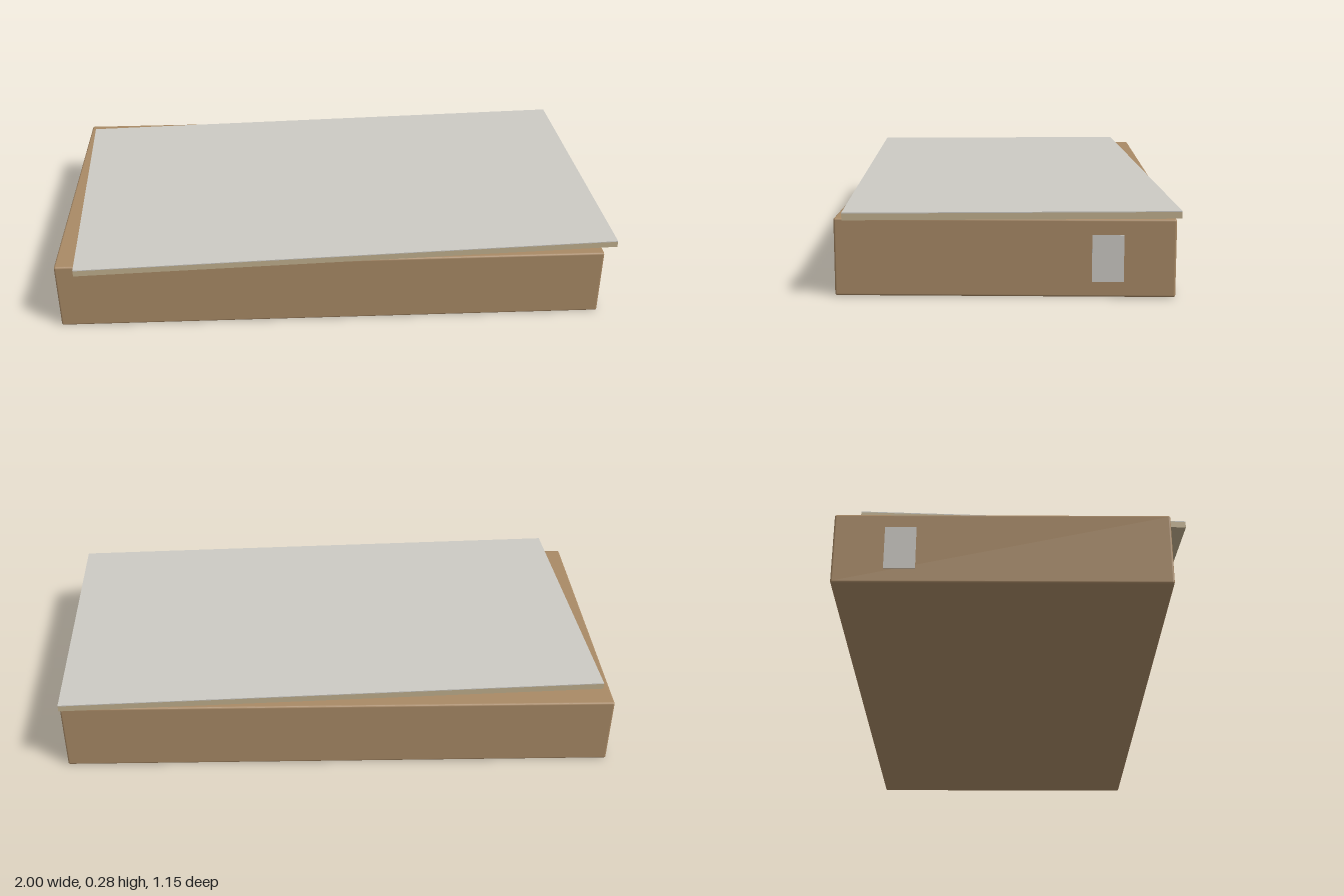
import * as THREE from 'three';
import { RoundedBoxGeometry } from 'three/addons/geometries/RoundedBoxGeometry.js';

const material = (name, color) => {
  const m = new THREE.MeshStandardMaterial({ color });
  m.name = name;
  return m;
};

export function createModel() {
  const cardboard = material('brown cardboard', 0xa98a66);
  const board = material('beige board', 0xbfae8c);
  const paper = material('pale grey paper', 0xcccac4);
  const model = new THREE.Group();
  model.name = 'boxWithLid';

  const add = (parent, name, geometry, mat, x, y, z) => {
    const mesh = new THREE.Mesh(geometry, mat);
    mesh.name = name;
    mesh.position.set(x, y, z);
    parent.add(mesh);
    return mesh;
  };

  // Shallow box with softened edges
  const width = 1.94, height = 0.25, depth = 1.075;
  const body = new THREE.Group();
  body.name = 'body';
  body.position.set(-0.028, 0, -0.026);
  model.add(body);
  add(body, 'box', new RoundedBoxGeometry(width, height, depth, 2, 0.007), cardboard, 0, height / 2, 0);

  // Paper label on each end
  for (const side of [-1, 1]) {
    add(body, side > 0 ? 'leftLabel' : 'rightLabel',
      new THREE.BoxGeometry(0.004, 0.15, 0.1), paper, side * (width / 2 + 0.001), 0.125, -0.324);
  }

  // Loose lid, turned slightly on the box, with a pale sheet on top
  const lid = new THREE.Group();
  lid.name = 'lid';
  lid.position.set(0.011, 0.253, -0.003);
  lid.rotation.y = 0.05;
  model.add(lid);
  add(lid, 'lidBoard', new THREE.BoxGeometry(1.918, 0.021, 1.056), board, 0, 0.0105, 0);
  add(lid, 'lidSheet', new THREE.BoxGeometry(1.918, 0.003, 1.056), paper, 0, 0.0225, 0);

  return model;
}
